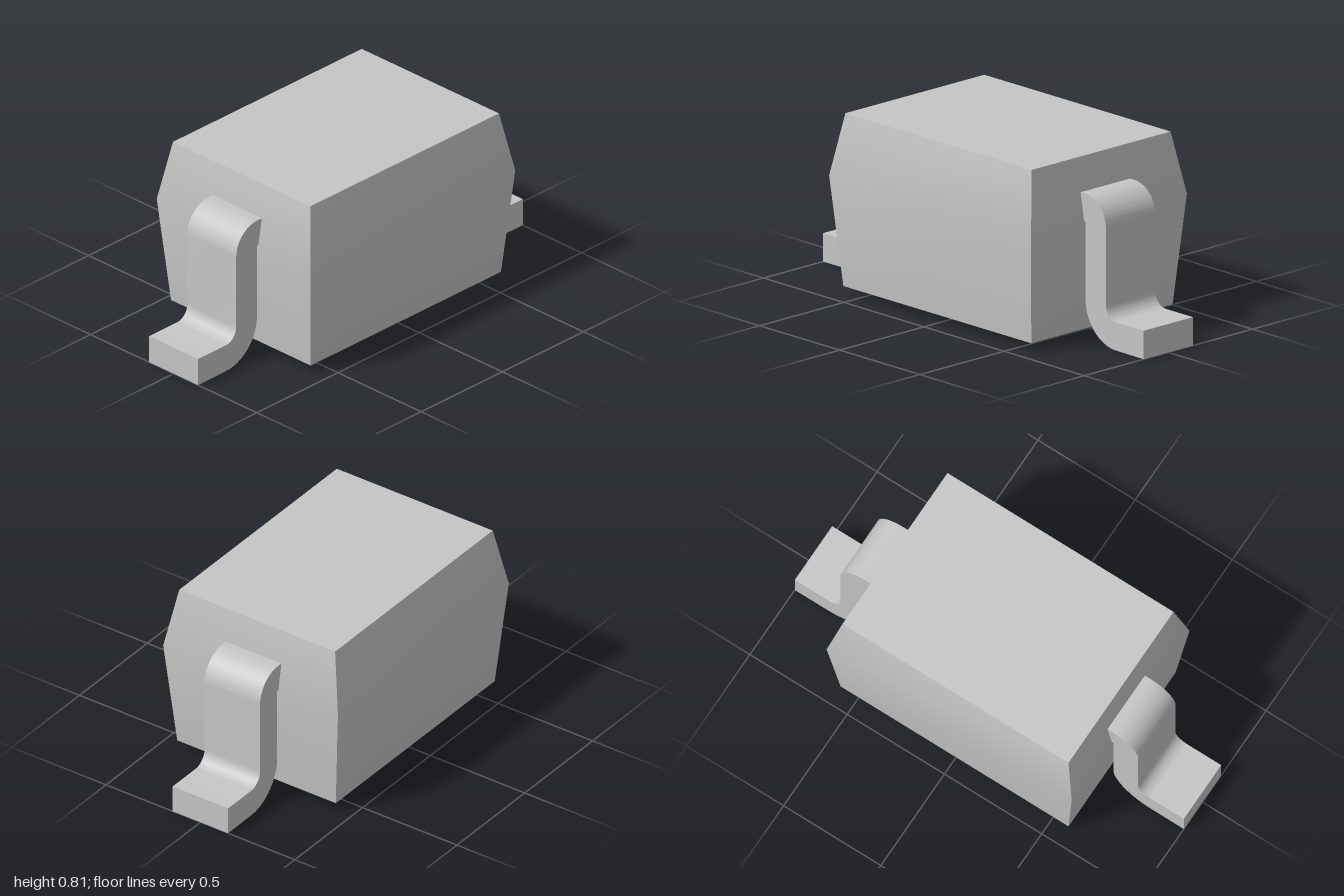
import * as THREE from 'three';
import { toCreasedNormals } from 'three/addons/utils/BufferGeometryUtils.js';

// Body cross-sections, bottom to top: [height, half width, half depth]
const RINGS = [[0.038, 0.42, 0.586], [0.535, 0.463, 0.63], [0.815, 0.413, 0.581]];

// Moulded body: four sides smooth over the waist line, sharp at the corners, flat caps
function bodyGeometry() {
  const positions = [], index = [];
  const corner = ([y, w, d], i) => {
    const [sx, sz] = [[-1, 1], [1, 1], [1, -1], [-1, -1]][i % 4];
    return [sx * w, y, sz * d];
  };
  for (let side = 0; side < 4; side++) {
    const base = positions.length / 3;
    for (const ring of RINGS) positions.push(...corner(ring, side), ...corner(ring, side + 1));
    for (let r = 0; r < RINGS.length - 1; r++) {
      const a = base + r * 2;
      index.push(a, a + 1, a + 3, a, a + 3, a + 2);
    }
  }
  for (const [ring, top] of [[RINGS[0], false], [RINGS[2], true]]) {
    const a = positions.length / 3;
    for (let i = 0; i < 4; i++) positions.push(...corner(ring, i));
    if (top) index.push(a, a + 1, a + 2, a, a + 2, a + 3);
    else index.push(a, a + 2, a + 1, a, a + 3, a + 2);
  }
  const geo = new THREE.BufferGeometry();
  geo.setAttribute('position', new THREE.Float32BufferAttribute(positions, 3));
  geo.setIndex(index);
  geo.computeVertexNormals();
  return geo;
}

// Gull-wing lead: side profile (z, y) extruded across x
function leadGeometry() {
  const width = 0.294;
  const s = new THREE.Shape();
  s.moveTo(1, 0);
  s.lineTo(1, 0.128);
  s.lineTo(0.83, 0.128);
  s.absarc(0.83, 0.193, 0.065, -Math.PI / 2, -Math.PI, true);
  s.lineTo(0.765, 0.535);
  s.absarc(0.635, 0.535, 0.13, 0, Math.PI / 2, false);
  s.lineTo(0.56, 0.665);
  s.lineTo(0.56, 0.54);
  s.lineTo(0.638, 0.54);
  s.lineTo(0.638, 0.193);
  s.absarc(0.83, 0.193, 0.192, Math.PI, Math.PI * 1.5, false);
  s.closePath();
  const geo = new THREE.ExtrudeGeometry(s, { depth: width, bevelEnabled: false, curveSegments: 12 });
  geo.translate(0, 0, -width / 2);
  geo.rotateY(-Math.PI / 2);
  return toCreasedNormals(geo, 0.5);
}

export function createModel() {
  const group = new THREE.Group();
  group.name = 'twoLeadComponent';
  const grey = new THREE.MeshStandardMaterial({ color: 0xc6c6c6 });
  grey.name = 'lightGrey';

  const body = new THREE.Mesh(bodyGeometry(), grey);
  body.name = 'body';
  group.add(body);

  // One lead at each end
  const geo = leadGeometry();
  for (const [name, turn] of [['frontLead', 0], ['backLead', Math.PI]]) {
    const lead = new THREE.Mesh(geo, grey);
    lead.name = name;
    lead.rotation.y = turn;
    group.add(lead);
  }
  return group;
}
